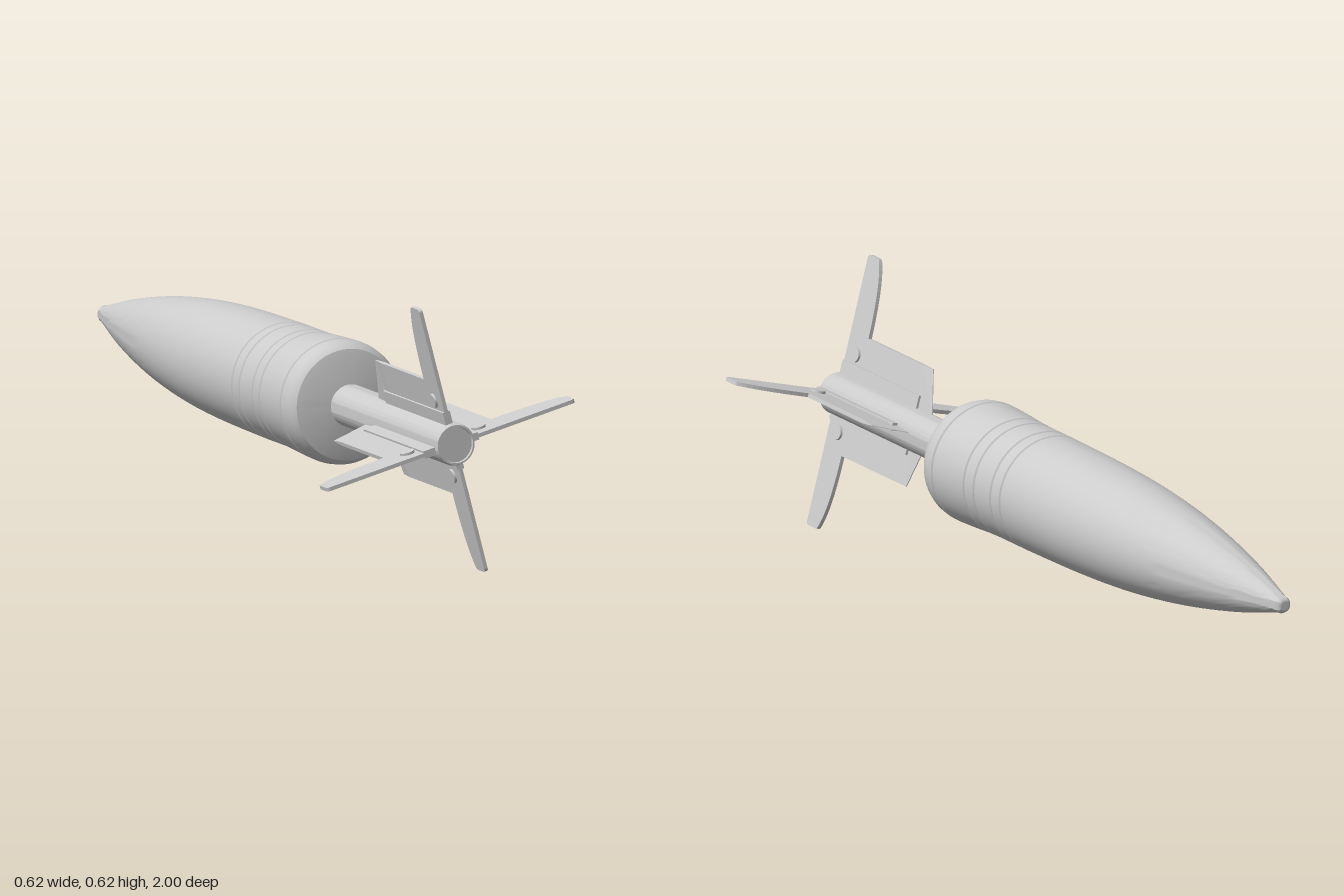
import * as THREE from 'three';
import { toCreasedNormals } from 'three/addons/utils/BufferGeometryUtils.js';

const material = new THREE.MeshStandardMaterial({ color: 0xcccccc });

function part(name, geometry) {
  const mesh = new THREE.Mesh(geometry, material);
  mesh.name = name;
  return mesh;
}

// Turned part along z; profile is [radius, z] with z increasing
function turned(name, profile, crease = 0.4) {
  const points = profile.map(([r, z]) => new THREE.Vector2(r, z));
  const geometry = new THREE.LatheGeometry(points, 64).rotateX(Math.PI / 2);
  return part(name, toCreasedNormals(geometry, crease));
}

// Smooth ogive from the blunt tip to the first groove
function ogive() {
  const curve = new THREE.SplineCurve([
    [0.024, -0.965], [0.064, -0.8], [0.1, -0.6], [0.123, -0.4], [0.134, -0.2], [0.138, 0.036],
  ].map(([r, z]) => new THREE.Vector2(r, z)));
  return curve.getPoints(30).map((p) => [p.x, p.y]);
}

// Narrow V-shaped groove in the casing
const groove = (r, z) => [[r, z - 0.004], [r - 0.005, z], [r, z + 0.004]];

// One fin lying along +x, thin in y
function makeFin() {
  const fin = new THREE.Group();
  const t = 0.009;

  const shape = new THREE.Shape();
  shape.moveTo(0.04, 0.67);
  shape.lineTo(0.139, 0.67);
  shape.lineTo(0.139, 0.912);
  shape.quadraticCurveTo(0.27, 0.913, 0.317, 0.943);
  shape.quadraticCurveTo(0.32, 0.946, 0.32, 0.952);
  shape.lineTo(0.32, 0.982);
  shape.quadraticCurveTo(0.319, 0.99, 0.311, 0.99);
  shape.lineTo(0.04, 0.99);
  const blade = new THREE.ExtrudeGeometry(shape, { depth: t, bevelEnabled: false, curveSegments: 10 });
  blade.rotateX(Math.PI / 2).translate(0, t / 2, 0);
  fin.add(part('finBlade', blade));

  // Sharpened, swept leading edge
  const edge = new THREE.BoxGeometry(1, 1, 1);
  const pos = edge.attributes.position;
  for (let i = 0; i < pos.count; i++) {
    const outer = pos.getX(i) > 0;
    const front = pos.getZ(i) < 0;
    const z = front ? (outer ? 0.63 : 0.592) : 0.67;
    pos.setXYZ(i, outer ? 0.139 : 0.04, pos.getY(i) * (front ? 0.002 : t), z);
  }
  const flatEdge = edge.toNonIndexed();
  flatEdge.computeVertexNormals();
  fin.add(part('finLeadingEdge', flatEdge));

  // Root reinforcement and rivet
  fin.add(part('finRoot', new THREE.BoxGeometry(0.03, 0.018, 0.34).translate(0.055, 0, 0.82)));
  fin.add(part('finRivet', new THREE.CylinderGeometry(0.017, 0.017, 0.02, 24).translate(0.092, 0, 0.945)));
  return fin;
}

export function createModel() {
  const model = new THREE.Group();
  model.name = 'finnedShell';
  const axis = new THREE.Group();
  axis.name = 'shellAxis';
  axis.position.set(0.008, 0.303, 0);
  model.add(axis);

  axis.add(turned('noseTip', [
    [0, -1], [0.01, -0.999], [0.016, -0.995], [0.02, -0.987], [0.022, -0.97], [0.024, -0.965],
  ], 0.9));

  axis.add(turned('casing', [
    ...ogive(),
    ...groove(0.138, 0.042), ...groove(0.138, 0.083),
    ...groove(0.138, 0.158), ...groove(0.139, 0.2),
    [0.142, 0.26], [0.1445, 0.325],
    ...groove(0.1445, 0.332),
    [0.1445, 0.345], [0.142, 0.365], [0.137, 0.38], [0.129, 0.389], [0.1, 0.396], [0.04, 0.402],
  ], 0.5));

  axis.add(turned('tailTube', [
    [0.049, 0.39], [0.049, 0.992], [0.046, 1], [0.042, 1], [0.041, 0.994], [0, 0.994],
  ]));

  // Four fins, each pair shifted slightly along its own line
  [-0.008, 0.009, 0.008, -0.009].forEach((shift, i) => {
    const angle = THREE.MathUtils.degToRad(15 + 90 * i);
    const fin = makeFin();
    fin.name = 'fin' + (i + 1);
    fin.rotation.z = angle;
    fin.position.set(Math.cos(angle) * shift, Math.sin(angle) * shift, 0);
    axis.add(fin);
  });

  return model;
}
